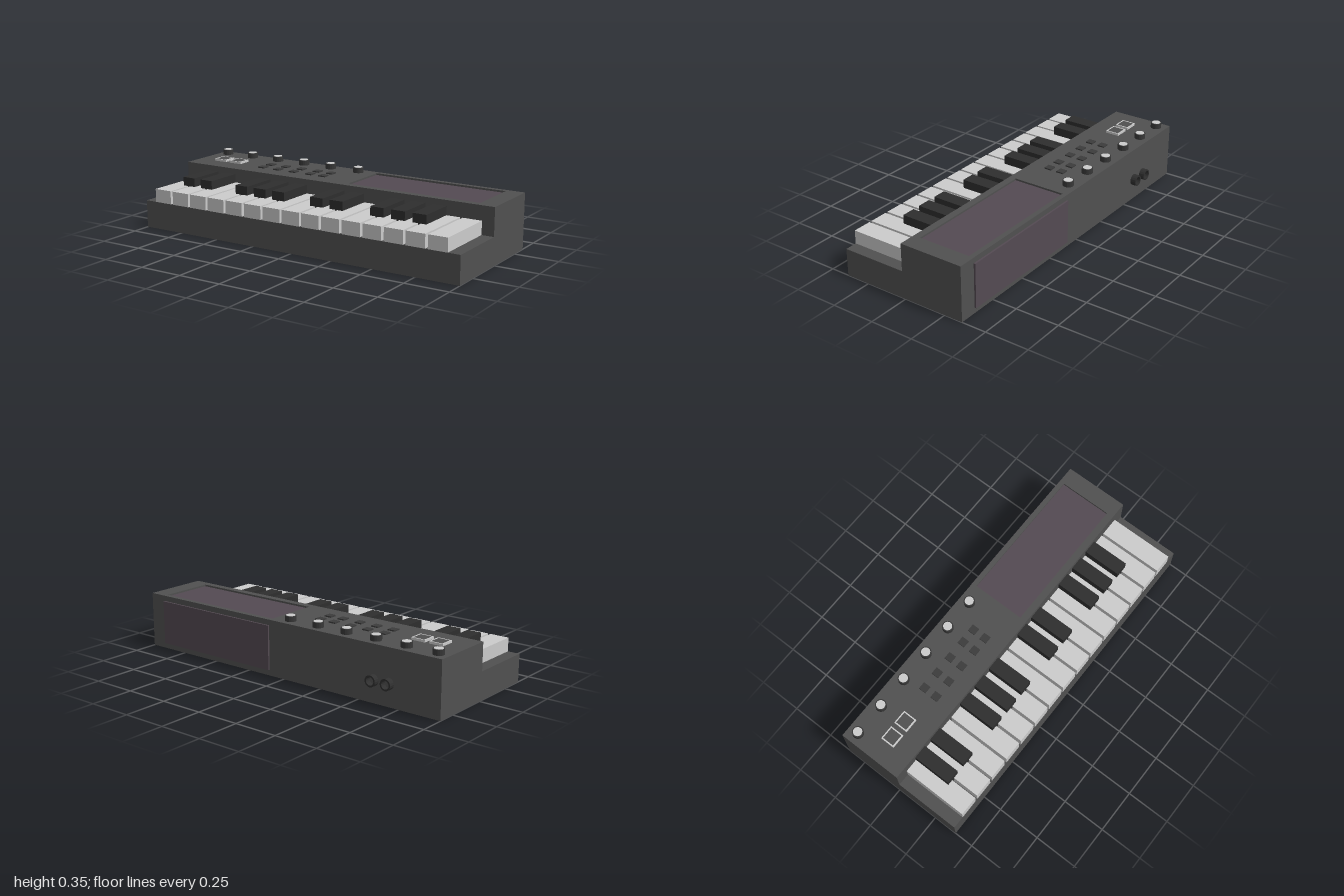
import * as THREE from 'three';

const mat = (color) => new THREE.MeshStandardMaterial({ color });
const flat = (color) => new THREE.MeshStandardMaterial({ color, flatShading: true });
const M = {
  body: mat(0x505050),
  light: mat(0xcccccc),
  black: mat(0x2e2e2e),
  button: mat(0x3c3c3c),
  knob: flat(0x383838),
  screen: mat(0x544a52),
};

export function createModel() {
  const root = new THREE.Group();
  root.name = 'keyboardSynth';

  const add = (name, geometry, material, x = 0, y = 0, z = 0) => {
    const mesh = new THREE.Mesh(geometry, material);
    mesh.name = name;
    mesh.position.set(x, y, z);
    root.add(mesh);
    return mesh;
  };
  // Box given by its x centre and width, and its y and z ranges
  const box = (name, material, x, w, y0, y1, z0, z1) =>
    add(name, new THREE.BoxGeometry(w, y1 - y0, z1 - z0), material, x, (y0 + y1) / 2, (z0 + z1) / 2);

  const rect = (Type, x0, x1, y0, y1) => {
    const path = new Type();
    path.moveTo(x0, y0);
    path.lineTo(x1, y0);
    path.lineTo(x1, y1);
    path.lineTo(x0, y1);
    path.closePath();
    return path;
  };
  // Flat plate lying on y, outline and hole in x and z
  const plate = (name, material, outline, hole, y, depth) => {
    const [x0, x1, z0, z1] = outline;
    const shape = rect(THREE.Shape, x0, x1, -z1, -z0);
    shape.holes.push(rect(THREE.Path, hole[0], hole[1], -hole[3], -hole[2]));
    const geo = new THREE.ExtrudeGeometry(shape, { depth, bevelEnabled: false });
    geo.rotateX(-Math.PI / 2);
    return add(name, geo, material, 0, y, 0);
  };

  const TOP = 0.314, BED = 0.157, BACK = -0.358, STEP = 0.015, FRONT = 0.39, DEPTH = 0.012;

  // Stepped case: L-shaped section swept across x
  const section = new THREE.Shape([
    [-FRONT, 0], [-BACK, 0], [-BACK, TOP - DEPTH], [-STEP, TOP - DEPTH], [-STEP, BED], [-FRONT, BED],
  ].map(([a, b]) => new THREE.Vector2(a, b)));
  const caseGeo = new THREE.ExtrudeGeometry(section, { depth: 2, bevelEnabled: false });
  caseGeo.rotateY(Math.PI / 2);
  add('case', caseGeo, M.body, -1);

  // Control panel with a shallow screen recess
  plate('controlPanel', M.body, [-1, 1, BACK, STEP], [0.1, 0.9, -0.33, -0.025], TOP - DEPTH, DEPTH);
  box('screen', M.screen, 0.5, 0.8, TOP - DEPTH - 0.004, TOP - DEPTH + 0.002, -0.33, -0.025);
  box('backPanel', M.screen, 0.5, 0.8, 0.032, 0.283, -0.368, BACK);

  // White keys, with black keys over the chosen gaps
  const pitch = 0.125;
  for (let i = 0; i < 15; i++) {
    box('whiteKey', M.light, -0.875 + i * pitch, 0.11, BED, 0.233, STEP, FRONT);
  }
  for (const i of [0, 1, 3, 4, 5, 7, 8, 10, 11, 12]) {
    box('blackKey', M.black, -0.8125 + i * pitch, 0.08, 0.2, 0.283, STEP, 0.235);
  }

  // Row of knobs with light caps
  for (let i = 0; i < 6; i++) {
    const x = -0.94 + i * 0.1875;
    add('knob', new THREE.CylinderGeometry(0.031, 0.031, 0.03, 16), M.knob, x, TOP + 0.015, -0.298);
    add('knobCap', new THREE.CylinderGeometry(0.025, 0.025, 0.004, 16), M.light, x, TOP + 0.03, -0.298);
  }

  // Square pads with light rims
  for (const x of [-0.847, -0.74]) {
    const h = 0.041, n = 0.034, z = -0.142;
    plate('padRim', M.light, [x - h, x + h, z - h, z + h], [x - n, x + n, z - n, z + n], TOP, 0.013);
    box('pad', M.body, x, n * 2, TOP, TOP + 0.012, z - n, z + n);
  }

  // Two rows of small buttons
  for (const x of [-0.532, -0.425, -0.315, -0.203, -0.113]) {
    for (const z of [-0.102, -0.181]) {
      box('button', M.button, x, 0.043, TOP, TOP + 0.007, z - 0.0215, z + 0.0215);
    }
  }

  // Rear sockets: short open tubes
  const tube = [[0.023, 0], [0.032, 0], [0.032, 0.032], [0.023, 0.032], [0.023, 0]];
  const jackMat = flat(0x303030);
  jackMat.side = THREE.DoubleSide;
  for (const x of [-0.689, -0.595]) {
    const geo = new THREE.LatheGeometry(tube.map(([r, y]) => new THREE.Vector2(r, y)), 16);
    geo.rotateX(-Math.PI / 2);
    add('socket', geo, jackMat, x, 0.125, BACK);
  }

  return root;
}
